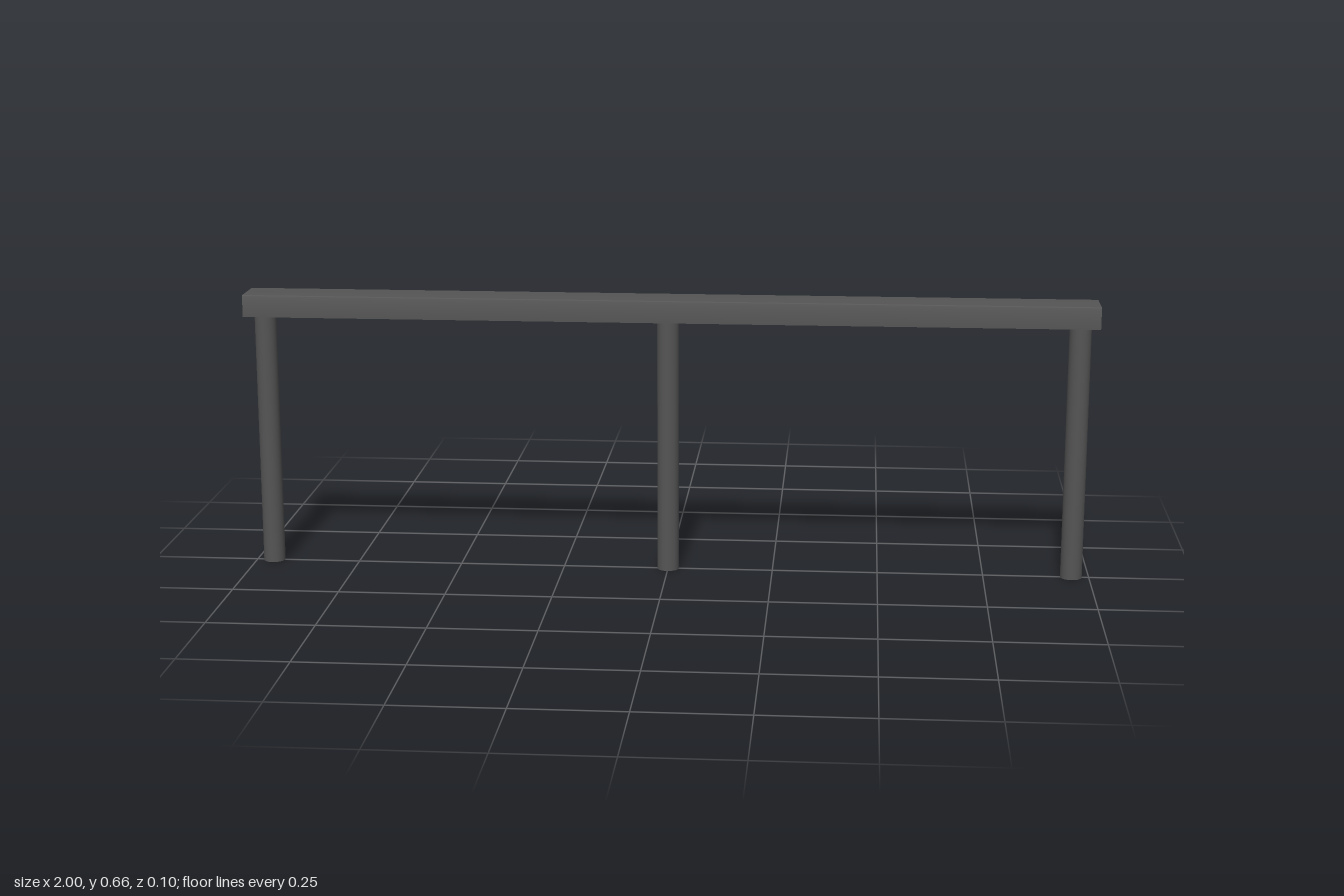
import * as THREE from 'three';
import { toCreasedNormals } from 'three/addons/utils/BufferGeometryUtils.js';

const LENGTH = 2, HALF_DEPTH = 0.051, RAIL_BOTTOM = 0.608, RAIL_TOP = 0.66, ROUND = 0.005;
const LEG_RADIUS = 0.0257, LEG_X = 0.958;

export function createModel() {
  const model = new THREE.Group();
  const material = new THREE.MeshStandardMaterial({ color: 0x555555 });

  // Rail: cross-section with softly rounded upper edges, swept along x
  const w = HALF_DEPTH;
  const section = new THREE.Shape();
  section.moveTo(-w, RAIL_BOTTOM);
  section.lineTo(w, RAIL_BOTTOM);
  section.lineTo(w, RAIL_TOP - ROUND);
  section.absarc(w - ROUND, RAIL_TOP - ROUND, ROUND, 0, Math.PI / 2);
  section.lineTo(-w + ROUND, RAIL_TOP);
  section.absarc(-w + ROUND, RAIL_TOP - ROUND, ROUND, Math.PI / 2, Math.PI);
  section.closePath();
  const railGeometry = new THREE.ExtrudeGeometry(section, {
    depth: LENGTH, bevelEnabled: false, curveSegments: 5,
  });
  railGeometry.translate(0, 0, -LENGTH / 2).rotateY(Math.PI / 2);
  const rail = new THREE.Mesh(toCreasedNormals(railGeometry, Math.PI / 5), material);
  rail.name = 'topRail';
  model.add(rail);

  // Three round legs, one at each end and one in the middle
  const legGeometry = new THREE.CylinderGeometry(LEG_RADIUS, LEG_RADIUS, RAIL_BOTTOM, 32);
  legGeometry.translate(0, RAIL_BOTTOM / 2, 0);
  for (const [name, x] of [['rightLeg', -LEG_X], ['middleLeg', 0], ['leftLeg', LEG_X]]) {
    const leg = new THREE.Mesh(legGeometry, material);
    leg.name = name;
    leg.position.x = x;
    model.add(leg);
  }

  return model;
}
